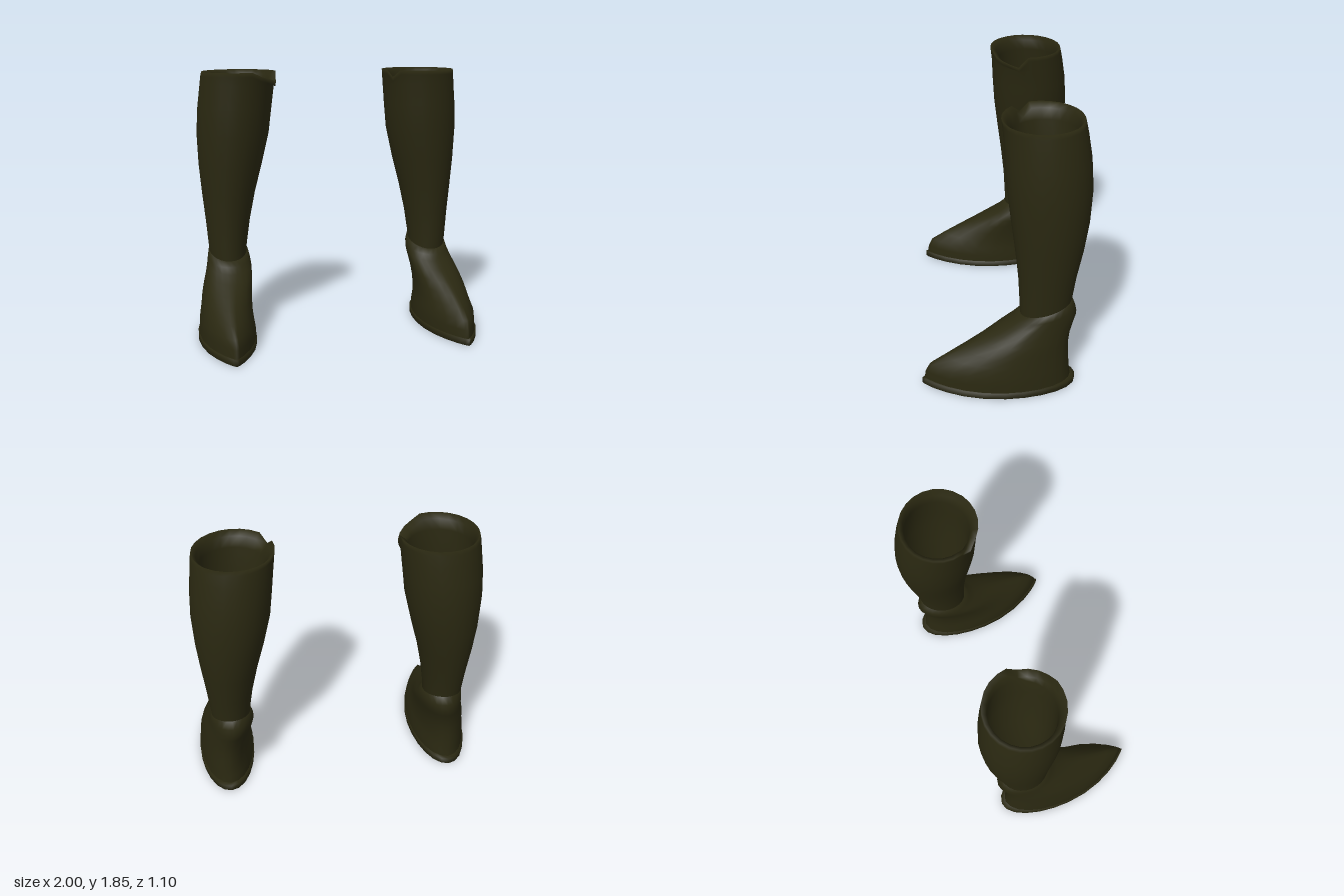
import * as THREE from 'three';

const leather = new THREE.MeshStandardMaterial({ color: 0x2a2811, side: THREE.DoubleSide });
leather.name = 'dark olive leather';
const SEG = 24;

// Skin a stack of rings, bottom to top. side is +1 or -1 and mirrors x.
// ring: [yFront, yBack, xInner, xOuter, zBack, zFront, zWidest, frontPoint]
function loft(name, rings, side, dip = () => 0) {
  const pos = [], idx = [];
  rings.forEach(([yf, yb, xi, xo, zb, zf, zc, point], i) => {
    for (let j = 0; j < SEG; j++) {
      const deg = (j / SEG) * 360, t = THREE.MathUtils.degToRad(deg);
      const c = Math.cos(t), s = Math.sin(t);
      const x = (xi + xo) / 2 + (xo - xi) / 2 * Math.sign(c) * Math.abs(c) ** (s > 0 ? point : 1);
      const z = zc + s * (s > 0 ? zf - zc : zc - zb);
      const y = yf + (yb - yf) * (zf - z) / (zf - zb) - dip(i, deg);
      pos.push(side * x, y, z);
      if (i === rings.length - 1) continue;
      const a = i * SEG + j, b = i * SEG + (j + 1) % SEG, d = a + SEG, e = b + SEG;
      if (side > 0) idx.push(a, d, b, b, d, e);
      else idx.push(a, b, d, b, e, d);
    }
  });
  const g = new THREE.BufferGeometry();
  g.setAttribute('position', new THREE.Float32BufferAttribute(pos, 3));
  g.setIndex(idx);
  g.computeVertexNormals();
  const mesh = new THREE.Mesh(g, leather);
  mesh.name = name;
  return mesh;
}

// Shaft outline: y, xInner, xOuter, zBack, zFront
const SHAFT = [
  [0.50, 0.625, 0.88, -0.43, -0.105], [0.62, 0.617, 0.89, -0.44, -0.10],
  [0.80, 0.59, 0.905, -0.465, -0.09], [1.00, 0.548, 0.925, -0.505, -0.068],
  [1.20, 0.495, 0.942, -0.535, -0.042], [1.42, 0.443, 0.95, -0.548, -0.015],
  [1.60, 0.422, 0.94, -0.535, -0.003], [1.75, 0.405, 0.922, -0.51, 0.004],
  [1.82, 0.396, 0.914, -0.495, 0.012], [1.85, 0.392, 0.908, -0.487, 0.015],
];

const FOOT = [
  [0.03, 0.03, 0.605, 0.993, -0.445, 0.535, 0, 1.7],
  [0.10, 0.10, 0.605, 0.99, -0.435, 0.525, 0, 1.7],
  [0.16, 0.16, 0.615, 0.985, -0.43, 0.495, 0, 1.65],
  [0.22, 0.23, 0.62, 0.972, -0.425, 0.40, -0.03, 1.6],
  [0.28, 0.31, 0.618, 0.962, -0.425, 0.29, -0.06, 1.5],
  [0.34, 0.39, 0.61, 0.945, -0.435, 0.18, -0.10, 1.4],
  [0.40, 0.46, 0.60, 0.925, -0.457, 0.07, -0.14, 1.25],
  [0.45, 0.52, 0.596, 0.91, -0.475, -0.015, -0.20, 1.15],
  [0.49, 0.57, 0.60, 0.90, -0.465, -0.065, -0.25, 1.05],
  [0.525, 0.63, 0.612, 0.89, -0.442, -0.097, -0.27, 1],
  [0.525, 0.62, 0.64, 0.86, -0.41, -0.13, -0.27, 1],
];

function shaftRing([y, xi, xo, zb, zf], inset = 0) {
  return [y, y, xi + inset, xo - inset, zb + inset, zf - inset, (zb + zf) / 2, 1];
}

function soleRing(y, inset) {
  return [y, y, 0.6 + inset, 1 - inset, -0.475 + inset, 0.55 - inset * 1.5, 0, 1.7];
}

function makeBoot(side) {
  const boot = new THREE.Group();
  boot.name = side > 0 ? 'leftBoot' : 'rightBoot';

  // Shaft: outer wall, rolled rim, then the lining back down to the ankle
  const lining = SHAFT.slice(1, 9).reverse().map((r, i) => shaftRing(r, i ? 0.045 : 0.035));
  const rings = [...SHAFT.map((r) => shaftRing(r)), ...lining];

  // Worn notch at the inner front of the rim
  const notch = (i, deg) => {
    if (i < 8 || i > 10) return 0;
    if (side > 0) return Math.abs(deg - 150) < 5 ? 0.05 : 0;
    return deg > 110 && deg < 172 ? 0.02 + 0.06 * (deg - 110) / 60 : 0;
  };
  boot.add(loft('shaft', rings, side, notch));

  // Foot upper with a pointed toe and a slanted ankle collar
  boot.add(loft('footUpper', FOOT, side));

  // Sole welt, hollow underneath
  boot.add(loft('sole', [
    soleRing(0.03, 0.03), soleRing(0, 0.02), soleRing(0, 0),
    soleRing(0.042, 0), soleRing(0.045, 0.03),
  ], side));

  // Rounded insole closing the ankle inside the shaft
  const insole = new THREE.Mesh(
    new THREE.SphereGeometry(1, 24, 8, 0, Math.PI * 2, 0, Math.PI / 2), leather);
  insole.name = 'insole';
  insole.scale.set(0.128, 0.09, 0.163);
  insole.position.set(side * 0.752, 0.55, -0.27);
  boot.add(insole);
  return boot;
}

export function createModel() {
  const model = new THREE.Group();
  model.name = 'pairOfBoots';
  for (const side of [1, -1]) model.add(makeBoot(side));
  return model;
}
